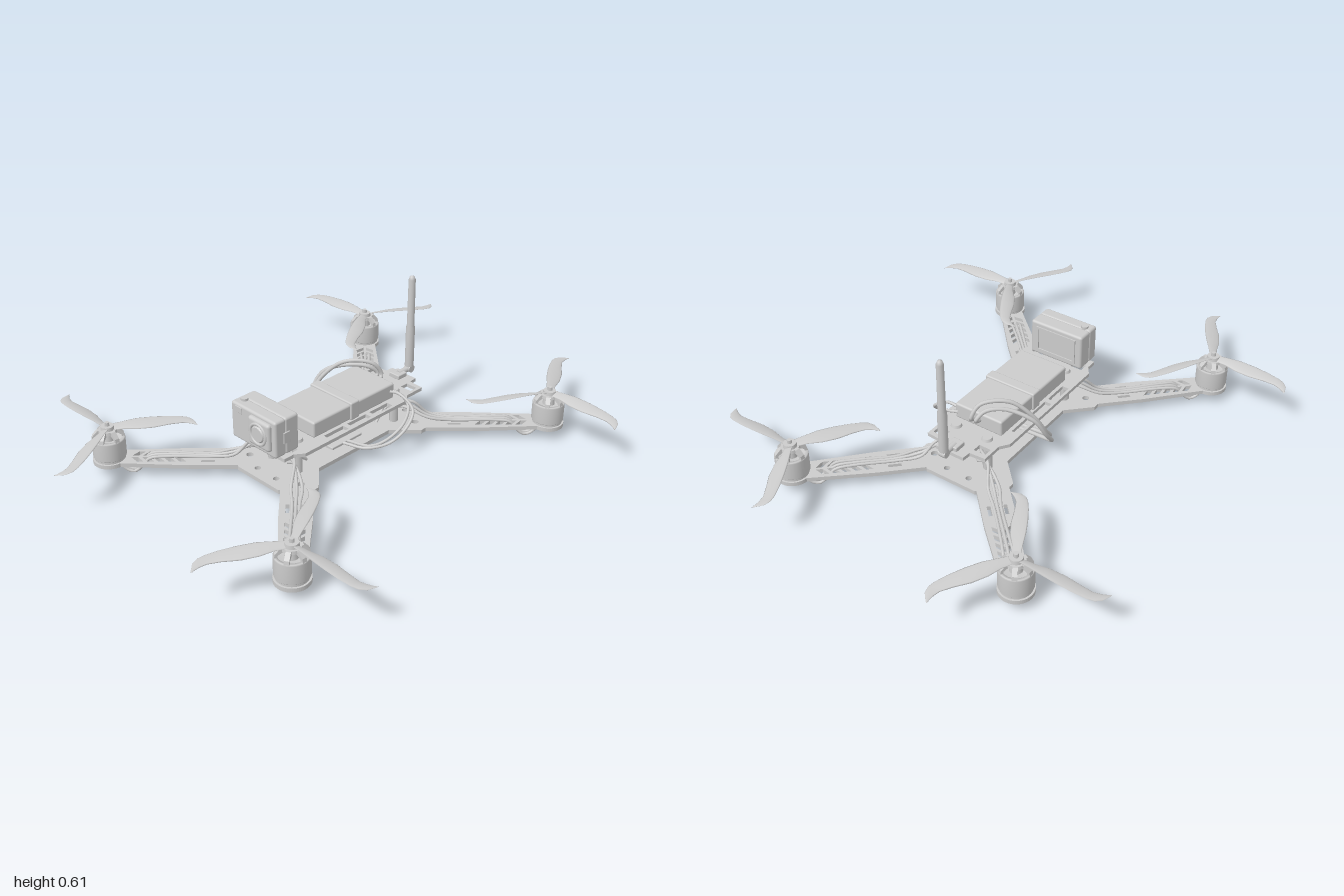
import * as THREE from 'three';
import { RoundedBoxGeometry } from 'three/addons/geometries/RoundedBoxGeometry.js';

const mat = new THREE.MeshStandardMaterial({ color: 0xcccccc });
const thin = new THREE.MeshStandardMaterial({ color: 0xcccccc, side: THREE.DoubleSide });
const V = (x, y, z) => new THREE.Vector3(x, y, z);

function add(parent, name, geo, x = 0, y = 0, z = 0, material = mat) {
  const m = new THREE.Mesh(geo, material);
  m.name = name;
  m.position.set(x, y, z);
  parent.add(m);
  return m;
}
const cyl = (r1, r2, h, n = 32) => new THREE.CylinderGeometry(r1, r2, h, n);
const rbox = (w, h, d, r = 0.008) => new RoundedBoxGeometry(w, h, d, 3, r);
const poly = (pts, Type = THREE.Shape) => new Type(pts.map(p => new THREE.Vector2(p[0], p[1])));
const rectHole = (x, y, w, h) => poly([[x - w / 2, y - h / 2], [x - w / 2, y + h / 2], [x + w / 2, y + h / 2], [x + w / 2, y - h / 2]], THREE.Path);
const roundHole = (x, y, r) => new THREE.Path().absarc(x, y, r, 0, Math.PI * 2, true);

// Flat plate: shape (x, y) lies in (x, z), top at y = 0
const plate = (shape, t) => new THREE.ExtrudeGeometry(shape, { depth: t, bevelEnabled: false, curveSegments: 20 }).rotateX(Math.PI / 2);

function wire(parent, name, pts, r = 0.006) {
  const curve = new THREE.CatmullRomCurve3(pts);
  add(parent, name, new THREE.TubeGeometry(curve, 50, r, 8));
}

// Outline given for x >= 0, z from back to front, mirrored in x
const mirrored = pts => poly([...pts, ...pts.map(([x, z]) => [-x, z]).reverse()]);

function buildFrame(g) {
  // Bottom plate with a narrow waist
  const half = [[0.11, 0.395], [0.2, 0.32], [0.2, 0.28], [0.11, 0.19]];
  const bottom = mirrored([...half.map(([x, z]) => [x, -z]), ...half.slice().reverse()]);
  for (const sz of [-1, 1]) for (const sx of [-1, 1]) {
    bottom.holes.push(roundHole(sx * 0.14, sz * 0.31, 0.014), roundHole(sx * 0.05, sz * 0.35, 0.012));
  }
  add(g, 'bottomPlate', plate(bottom, 0.016), 0, 0.062, 0);

  // Top plate with strap slots and end windows
  const top = mirrored([[0.062, -0.395], [0.065, -0.36], [0.13, -0.355], [0.13, -0.27], [0.155, -0.235],
    [0.155, 0.3], [0.13, 0.335], [0.13, 0.38]]);
  for (const sx of [-1, 1]) {
    for (const z of [-0.12, 0, 0.12]) top.holes.push(rectHole(sx * 0.13, z, 0.028, 0.1));
    for (const z of [-0.32, 0.32]) top.holes.push(rectHole(sx * 0.092, z, 0.05, 0.035));
  }
  add(g, 'topPlate', plate(top, 0.014), 0, 0.195, 0);

  // Standoffs with screw heads
  for (const sx of [-1, 1]) for (const sz of [-1, 1]) {
    add(g, 'standoff', cyl(0.018, 0.018, 0.12, 6), sx * 0.07, 0.122, sz * 0.26);
    add(g, 'screwHead', cyl(0.018, 0.022, 0.012, 20), sx * 0.07, 0.2, sz * 0.26);
    add(g, 'screwHead', cyl(0.022, 0.018, 0.012, 20), sx * 0.07, 0.04, sz * 0.26);
  }
}

// Arm in local coordinates: u runs from the motor toward the body
function armGeometry() {
  const s = new THREE.Shape();
  s.moveTo(0.5, -0.06);
  s.lineTo(0.5, 0.06);
  s.lineTo(0.3, 0.06);
  s.lineTo(0.045, 0.047);
  s.absarc(0, 0, 0.065, 0.8, Math.PI * 2 - 0.8, false);
  s.lineTo(0.3, -0.06);
  for (let i = 0; i < 5; i++) {
    const u = 0.08 + i * 0.04;
    for (const k of [-1, 1]) {
      s.holes.push(poly([[u, k * 0.005], [u + 0.025, k * 0.005], [u + 0.05, k * 0.036], [u + 0.025, k * 0.036]], THREE.Path));
    }
  }
  for (const v of [-0.03, 0.03]) s.holes.push(rectHole(0.37, v, 0.05, 0.014));
  return plate(s, 0.016);
}

// Swept, twisted blade: [radius, chord, sweep, height, pitch]
const stations = [
  [0.015, 0.03, 0, 0.0, 0.35], [0.06, 0.038, 0, 0.002, 0.35], [0.11, 0.056, 0.003, 0.002, 0.3],
  [0.17, 0.06, 0.004, 0, 0.24], [0.23, 0.05, 0.002, -0.002, 0.18], [0.275, 0.042, 0.004, -0.005, 0.14],
  [0.3, 0.042, 0.012, -0.007, 0.1], [0.318, 0.034, 0.026, -0.009, 0.08], [0.328, 0.008, 0.046, -0.011, 0.05],
];
function bladeGeometry(angle, sx, sz) {
  const n = 12, pos = [], idx = [];
  stations.forEach(([r, c, off, h, p]) => {
    const t = Math.min(0.006, c * 0.12);
    for (let j = 0; j < n; j++) {
      const a = j / n * Math.PI * 2, w = Math.cos(a) * c / 2, y = Math.sin(a) * t / 2 + 0.12 * (c / 4 - w * w / c);
      pos.push(r, h + y * Math.cos(p) + w * Math.sin(p), w * Math.cos(p) - y * Math.sin(p) - off);
    }
  });
  const flip = sx * sz < 0;
  const tri = (a, b, c) => flip ? idx.push(a, c, b) : idx.push(a, b, c);
  for (let i = 0; i < stations.length - 1; i++) for (let j = 0; j < n; j++) {
    const a = i * n + j, b = i * n + (j + 1) % n;
    tri(a, a + n, b);
    tri(b, a + n, b + n);
  }
  const last = (stations.length - 1) * n;
  for (let j = 1; j < n - 1; j++) tri(last, last + j + 1, last + j);
  const geo = new THREE.BufferGeometry();
  geo.setAttribute('position', new THREE.Float32BufferAttribute(pos, 3));
  geo.setIndex(idx);
  geo.rotateY(angle);
  geo.scale(sx, 1, sz);
  geo.computeVertexNormals();
  return geo;
}

function buildMotor(g, sx, sz) {
  const m = new THREE.Group();
  m.name = 'motor';
  m.position.set(sx * 0.5, 0, sz * 0.69);
  g.add(m);
  add(m, 'motorBase', cyl(0.058, 0.058, 0.012), 0, 0.067, 0);
  const bell = [[0, 0.072], [0.06, 0.072], [0.0625, 0.075], [0.0625, 0.145], [0.06, 0.15], [0.05, 0.15], [0.05, 0.14], [0, 0.14]];
  add(m, 'motorBell', new THREE.LatheGeometry(bell.map(p => new THREE.Vector2(...p)), 36), 0, 0, 0, thin);
  add(m, 'motorCap', cyl(0.034, 0.036, 0.012), 0, 0.178, 0);
  add(m, 'motorCore', cyl(0.02, 0.024, 0.04, 20), 0, 0.158, 0);
  // Sloped spokes from rim to cap
  const spoke = poly([[0.025, 0.184], [0.038, 0.184], [0.058, 0.163], [0.061, 0.145], [0.05, 0.145], [0.048, 0.158], [0.025, 0.172]]);
  for (let i = 0; i < 6; i++) {
    const geo = new THREE.ExtrudeGeometry(spoke, { depth: 0.018, bevelEnabled: false }).translate(0, 0, -0.009);
    add(m, 'motorSpoke', geo).rotation.y = i * Math.PI / 3;
  }
  for (let i = 0; i < 4; i++) {
    const a = Math.PI / 4 + i * Math.PI / 2;
    add(m, 'motorScrew', cyl(0.009, 0.009, 0.01, 12), 0.04 * Math.cos(a), 0.041, 0.04 * Math.sin(a));
  }
  add(m, 'propellerHub', cyl(0.024, 0.026, 0.014, 24), 0, 0.191, 0);
  add(m, 'propellerNut', cyl(0.009, 0.01, 0.016, 6), 0, 0.204, 0);
  for (let i = 0; i < 3; i++) add(m, 'propellerBlade', bladeGeometry(i * Math.PI * 2 / 3, sx, sz), 0, 0.189, 0, thin);
}

function buildMotorWires(g, sx, sz) {
  const q = Math.SQRT1_2;
  for (const k of [-1, 0, 1]) {
    const at = (u, y, v) => V(sx * (0.5 - (u + v) * q), y, sz * (0.69 - (u - v) * q));
    wire(g, 'motorWire', [
      at(0.035, 0.05, k * 0.014), at(0.06, 0.018, k * 0.016), at(0.09, 0.009, k * 0.018), at(0.118, 0.03, k * 0.018),
      at(0.15, 0.065, k * 0.018), at(0.22, 0.072, k * 0.015), at(0.38, 0.07, k * 0.013), at(0.47, 0.085, k * 0.02),
      V(sx * (0.1 + k * 0.015), 0.13 + k * 0.012, sz * (0.305 + k * 0.012)),
      V(sx * 0.04, 0.115 + k * 0.02, sz * (0.27 - k * 0.01)), V(sx * (0.03 + k * 0.012), 0.07, sz * 0.19),
    ]);
  }
}

function buildCamera(g) {
  const c = new THREE.Group();
  c.name = 'camera';
  g.add(c);
  add(c, 'cameraBody', rbox(0.235, 0.148, 0.065, 0.01), 0, 0.273, 0.328);
  add(c, 'cameraFront', rbox(0.235, 0.148, 0.052, 0.01), 0, 0.273, 0.382);
  add(c, 'lensHousing', rbox(0.112, 0.112, 0.03, 0.012), 0.042, 0.278, 0.408);
  add(c, 'lensRing', new THREE.TorusGeometry(0.04, 0.006, 10, 36), 0.042, 0.278, 0.422);
  add(c, 'lensGlass', cyl(0.028, 0.034, 0.008).rotateX(Math.PI / 2), 0.042, 0.278, 0.424);
  add(c, 'frontWindow', rbox(0.035, 0.025, 0.006, 0.002), -0.075, 0.325, 0.407);
  add(c, 'shutterButton', cyl(0.014, 0.014, 0.012, 20), -0.085, 0.35, 0.37);
  add(c, 'sideDoor', rbox(0.006, 0.045, 0.03, 0.002), 0.118, 0.27, 0.355);
  // Raised frame around the rear screen
  const s = poly([[-0.09, -0.055], [0.09, -0.055], [0.09, 0.055], [-0.09, 0.055]]);
  s.holes.push(rectHole(0, 0, 0.16, 0.09));
  add(c, 'screenFrame', new THREE.ExtrudeGeometry(s, { depth: 0.006, bevelEnabled: false }), 0, 0.273, 0.291);
}

function buildAntenna(g) {
  const profile = [[0, 0.2], [0.013, 0.2], [0.013, 0.215], [0.018, 0.22], [0.018, 0.39], [0.015, 0.4], [0.014, 0.595], [0.009, 0.608], [0, 0.612]];
  add(g, 'antenna', new THREE.LatheGeometry(profile.map(p => new THREE.Vector2(...p)), 20), 0, 0, -0.425);
  add(g, 'antennaConnector', cyl(0.012, 0.012, 0.07, 16).rotateX(Math.PI / 2), 0, 0.206, -0.395);
  add(g, 'antennaHinge', cyl(0.016, 0.016, 0.03, 16).rotateZ(Math.PI / 2), 0, 0.208, -0.425);
  add(g, 'antennaMount', rbox(0.05, 0.02, 0.05, 0.004), 0, 0.203, -0.36);
}

function buildBattery(g) {
  add(g, 'battery', rbox(0.21, 0.065, 0.43, 0.008), 0, 0.227, -0.005);
  add(g, 'batteryStrap', rbox(0.222, 0.074, 0.045, 0.006), 0, 0.23, 0);
  // Power leads looping to the lower deck
  for (const k of [-1, 1]) {
    const d = k * 0.011;
    wire(g, 'batteryLead', [V(0.005 + d, 0.225, -0.21), V(d, 0.245, -0.25), V(-0.02 + d, 0.29 + d, -0.22),
      V(-0.09, 0.295 + d, -0.16 + d), V(-0.17 + d, 0.24, -0.11 + d), V(-0.2 + d, 0.16, -0.07 + d),
      V(-0.19 + d, 0.1, -0.02 + d), V(-0.12, 0.076, d), V(-0.03, 0.072, d)], 0.008);
    wire(g, 'balanceLead', [V(0.09, 0.225, -0.21 + d), V(0.15, 0.222 + d, -0.215 + d), V(0.205 + d, 0.19, -0.205),
      V(0.218 + d, 0.14, -0.16), V(0.195 + d, 0.09, -0.09), V(0.15, 0.073, -0.03 + d), V(0.06, 0.07, d)], 0.006);
  }
}

export function createModel() {
  const g = new THREE.Group();
  g.name = 'quadcopter';
  buildFrame(g);
  for (const sx of [-1, 1]) for (const sz of [-1, 1]) {
    add(g, 'arm', armGeometry(), sx * 0.5, 0.062, sz * 0.69).rotation.y = Math.atan2(sz, -sx);
    buildMotor(g, sx, sz);
    buildMotorWires(g, sx, sz);
  }
  add(g, 'powerBoard', rbox(0.12, 0.012, 0.16, 0.003), 0, 0.066, -0.01);
  buildBattery(g);
  buildCamera(g);
  buildAntenna(g);
  return g;
}
